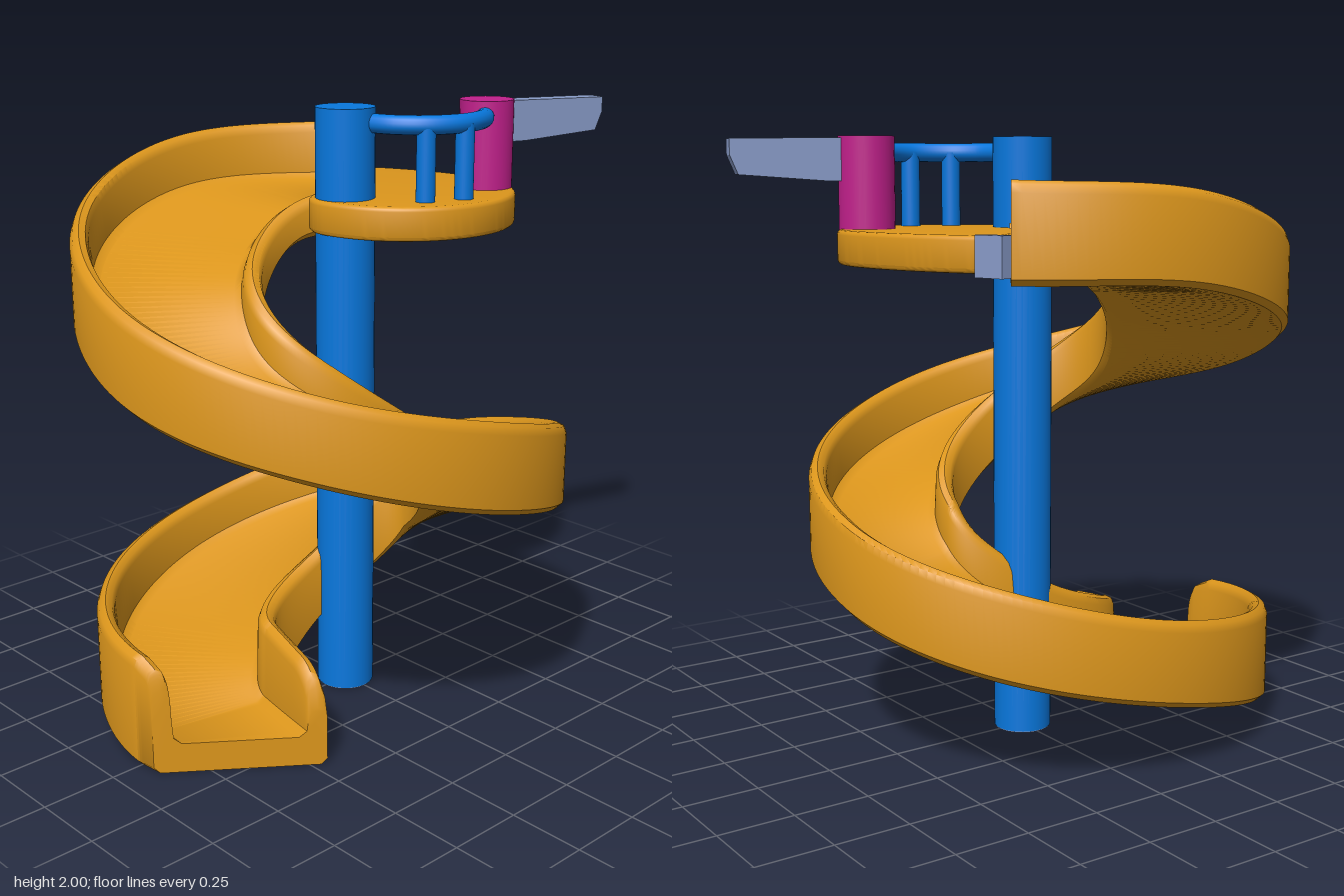
import * as THREE from 'three';
import { toCreasedNormals } from 'three/addons/utils/BufferGeometryUtils.js';

const mat = (name, color) => {
  const m = new THREE.MeshStandardMaterial({ color });
  m.name = name;
  return m;
};

// Heights along the slide, one row per 45 degrees: underside, outer rim, inner rim
const HEIGHTS = new THREE.CatmullRomCurve3([
  [1.57, 1.87, 1.73], [1.55, 1.84, 1.68], [1.39, 1.68, 1.56], [1.18, 1.47, 1.42],
  [1.03, 1.30, 1.27], [0.86, 1.15, 1.10], [0.69, 0.98, 0.94], [0.53, 0.82, 0.79],
  [0.38, 0.67, 0.64], [0.24, 0.52, 0.49], [0.10, 0.43, 0.41], [0, 0.38, 0.37], [0, 0.34, 0.32],
].map(r => new THREE.Vector3(...r)), false, 'catmullrom');
const SPANS = 12, START = 0.05;
const EXIT_OUTER = new THREE.Vector2(-0.893, 0.07);
const EXIT_INNER = new THREE.Vector2(-0.455, 0.4);

// Inner and outer edge of the slide in plan; the last span runs out to an angled exit
function edges(s) {
  const phi = (1 + Math.min(s, 11)) * Math.PI / 4;
  const lower = phi > Math.PI * 2;
  const run = Math.max(0, s - 11);
  const c = Math.cos(phi), n = Math.sin(phi);
  const outer = new THREE.Vector2(-0.1 + 0.803 * c, -(lower ? 0.71 : 0.797) * n);
  const inner = new THREE.Vector2(-0.105 + 0.285 * c, 0.1 - (lower ? 0.12 : 0.215) * n);
  return { outer: outer.lerp(EXIT_OUTER, run), inner: inner.lerp(EXIT_INNER, run) };
}

// Trough section, counter-clockwise, as (distance from inner edge, height)
function section(w, b, outRim, inRim) {
  const floor = b + 0.1;
  const wall = (rim) => [[0, rim - 0.035], [0.009, rim - 0.011], [0.03, rim],
    [0.051, rim - 0.011], [0.06, rim - 0.035]];
  return [
    [w - 0.02, b], [w, b + 0.02],
    ...wall(outRim).map(([x, y]) => [w - x, y]),
    [w - 0.065, floor + 0.02], [w - 0.09, floor],
    [0.09, Math.min(floor, inRim - 0.03)], [0.065, Math.min(floor + 0.02, inRim - 0.03)],
    ...wall(inRim).reverse(),
    [0, b + 0.02], [0.02, b],
  ];
}

function slideGeometry() {
  const pos = [], index = [], steps = 240;
  let count = 0, first, last;
  for (let i = 0; i <= steps; i++) {
    const s = START + (SPANS - START) * i / steps;
    const { outer, inner } = edges(s);
    const h = HEIGHTS.getPoint(s / SPANS);
    // rounded upper corner at the exit
    const q = Math.max(0, (s - 11.65) / 0.35);
    const drop = 0.12 * (1 - Math.sqrt(Math.max(0, 1 - q * q)));
    const dir = outer.clone().sub(inner);
    const width = dir.length();
    dir.normalize();
    const pts = section(width, Math.max(0, h.x), h.y - drop, h.z - drop);
    count = pts.length;
    for (const [u, y] of pts) pos.push(inner.x + dir.x * u, y, inner.y + dir.y * u);
    if (i === 0) first = pts;
    last = pts;
  }
  for (let i = 0; i < steps; i++) {
    for (let j = 0; j < count; j++) {
      const k = (j + 1) % count;
      const a = i * count + j, b = i * count + k, c = a + count, d = b + count;
      index.push(a, c, b, b, c, d);
    }
  }
  const cap = (pts) => THREE.ShapeUtils.triangulateShape(pts.map(p => new THREE.Vector2(...p)), []);
  for (const [a, b, c] of cap(first)) index.push(a, b, c);
  const o = steps * count;
  for (const [a, b, c] of cap(last)) index.push(o + a, o + c, o + b);
  const g = new THREE.BufferGeometry();
  g.setAttribute('position', new THREE.Float32BufferAttribute(pos, 3));
  g.setIndex(index);
  return toCreasedNormals(g, 0.75);
}

export function createModel() {
  const model = new THREE.Group();
  model.name = 'spiralSlide';
  const orange = mat('slide orange', 0xdc961c);
  const blue = mat('pole blue', 0x0878de);
  const magenta = mat('post magenta', 0xc2208c);
  const grey = mat('metal grey', 0x8a9dca);
  const add = (name, geometry, material, x = 0, y = 0, z = 0) => {
    const m = new THREE.Mesh(geometry, material);
    m.name = name;
    m.position.set(x, y, z);
    model.add(m);
    return m;
  };
  const post = (name, r, y0, y1, x, z, material) =>
    add(name, new THREE.CylinderGeometry(r, r, y1 - y0, 32), material, x, (y0 + y1) / 2, z);

  add('slideTrough', slideGeometry(), orange);

  // Platform: a disc widened at the back to meet the slide entrance
  const deck = new THREE.Shape();
  deck.moveTo(0, 0.14);
  deck.lineTo(0.45, 0.53);
  deck.quadraticCurveTo(0.63, 0.28, 0.633, 0);
  deck.absarc(0.258, 0, 0.375, 0, -Math.PI, true);
  deck.quadraticCurveTo(-0.11, 0.1, 0, 0.14);
  const deckGeo = new THREE.ExtrudeGeometry(deck, {
    depth: 0.08, bevelSize: 0.015, bevelOffset: -0.015, bevelThickness: 0.015,
    bevelSegments: 3, curveSegments: 40,
  });
  deckGeo.rotateX(-Math.PI / 2);
  add('platform', toCreasedNormals(deckGeo, 0.6), orange, 0, 1.615, 0);

  // Centre pole with its foot plate
  post('centrePole', 0.097, 0.004, 2, -0.003, 0, blue);
  post('poleFoot', 0.095, 0, 0.004, -0.003, 0, grey);

  // Curved guard rail on two short posts
  const rail = new THREE.CatmullRomCurve3([
    [0.03, 0.05], [0.06, 0.16], [0.13, 0.24], [0.25, 0.28], [0.37, 0.25], [0.46, 0.18],
  ].map(([x, z]) => new THREE.Vector3(x, 1.95, z)));
  add('guardRail', new THREE.TubeGeometry(rail, 40, 0.031, 14), blue);
  for (const [x, z] of [[0.125, 0.235], [0.255, 0.28]]) post('railPost', 0.031, 1.7, 1.95, x, z, blue);

  post('entryPost', 0.09, 1.7, 2, 0.487, 0.162, magenta);

  // Arm reaching out from the entry post
  const arm = new THREE.Shape([
    [0, 1.86], [0.06, 1.86], [0.34, 1.88], [0.365, 1.94], [0.365, 1.99], [0, 1.995],
  ].map(p => new THREE.Vector2(...p)));
  const armGeo = new THREE.ExtrudeGeometry(arm, { depth: 0.07, bevelEnabled: false });
  armGeo.translate(0, 0, -0.035);
  add('entryArm', armGeo, grey, 0.55, 0, 0.19).rotation.y = -0.286;

  // Small bracket joining platform and slide entrance
  add('entranceBracket', new THREE.BoxGeometry(0.045, 0.122, 0.105), grey, 0.465, 1.652, -0.525).rotation.y = 0.26;

  return model;
}
